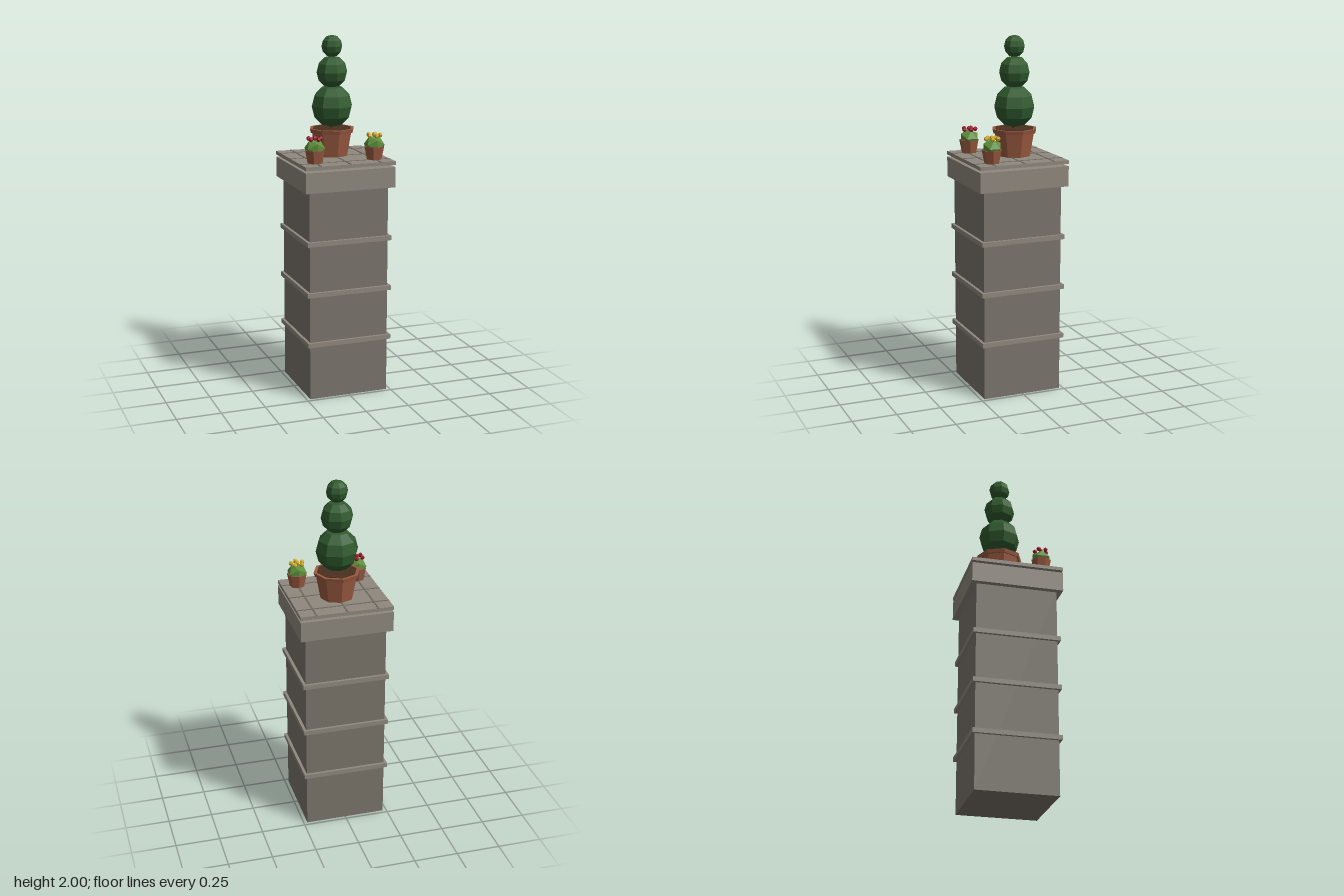
import * as THREE from 'three';

const mat = (color) => new THREE.MeshStandardMaterial({ color, flatShading: true });

export function createModel() {
  const model = new THREE.Group();
  model.name = 'plantedPillar';

  const wall = mat(0x7a746b), stone = mat(0x8f887d), joint = mat(0x6f6a62);
  const clay = mat(0x9a5a40), soil = mat(0x4a3020), bark = mat(0x5a3d28);
  const hedge = mat(0x2f5a2d), leaf = mat(0x5d8f3c), red = mat(0xa3182c), yellow = mat(0xd9b02e);

  const add = (parent, name, geometry, material, x = 0, y = 0, z = 0) => {
    const mesh = new THREE.Mesh(geometry, material);
    mesh.name = name;
    mesh.position.set(x, y, z);
    parent.add(mesh);
    return mesh;
  };
  // Box and tapered cylinder placed by their bottom and top heights
  const slab = (name, w, d, y0, y1, material, x = 0, z = 0) =>
    add(model, name, new THREE.BoxGeometry(w, y1 - y0, d), material, x, (y0 + y1) / 2, z);
  const taper = (parent, name, rTop, rBottom, y0, y1, sides, material) =>
    add(parent, name, new THREE.CylinderGeometry(rTop, rBottom, y1 - y0, sides), material, 0, (y0 + y1) / 2);

  // Column with three bands, cap and a paved slab just above it
  slab('column', 0.458, 0.458, 0, 1.19, wall);
  for (const y of [0.32, 0.608, 0.896]) slab('band', 0.49, 0.49, y - 0.013, y + 0.013, stone);
  slab('cap', 0.52, 0.52, 1.185, 1.298, stone);
  slab('pavingSlab', 0.52, 0.52, 1.311, 1.331, stone);
  for (const p of [-0.173, 0, 0.173]) {
    slab('pavingJoint', 0.009, 0.52, 1.329, 1.333, joint, p, 0);
    slab('pavingJoint', 0.52, 0.009, 1.329, 1.3328, joint, 0, p);
  }

  // Topiary in the large octagonal pot
  const topiary = new THREE.Group();
  topiary.name = 'topiary';
  topiary.position.z = -0.045;
  model.add(topiary);
  taper(topiary, 'largePot', 0.118, 0.093, 1.331, 1.465, 8, clay);
  taper(topiary, 'largePotRim', 0.131, 0.125, 1.462, 1.484, 8, clay);
  taper(topiary, 'largePotSoil', 0.112, 0.112, 1.475, 1.486, 8, soil);
  taper(topiary, 'trunk', 0.012, 0.014, 1.48, 1.92, 6, bark);
  for (const [r, y] of [[0.119, 1.608], [0.09, 1.797], [0.061, 1.939]]) {
    add(topiary, 'hedgeBall', new THREE.SphereGeometry(r, 8, 6), hedge, 0, y);
  }

  // Small seven-sided flower pots at the two front corners
  const flowerPot = (name, x, petals, turn) => {
    const group = new THREE.Group();
    group.name = name;
    group.position.set(x, 0, 0.158);
    model.add(group);
    taper(group, 'smallPot', 0.057, 0.042, 1.331, 1.404, 7, clay).rotation.y = Math.PI;
    add(group, 'foliage', new THREE.IcosahedronGeometry(0.058), leaf, 0, 1.414).scale.y = 0.87;
    for (let i = 0; i < 6; i++) {
      const a = turn + (i * Math.PI * 2) / 5;
      const r = i < 5 ? 0.034 : 0;
      const bloom = add(group, 'flower', new THREE.SphereGeometry(0.0135, 5, 4), petals,
        r * Math.cos(a), i < 5 ? 1.465 : 1.469, r * Math.sin(a));
      bloom.rotation.y = -Math.PI / 2;
    }
  };
  flowerPot('redFlowerPot', -0.173, red, 0);
  flowerPot('yellowFlowerPot', 0.173, yellow, 0.27);

  return model;
}
